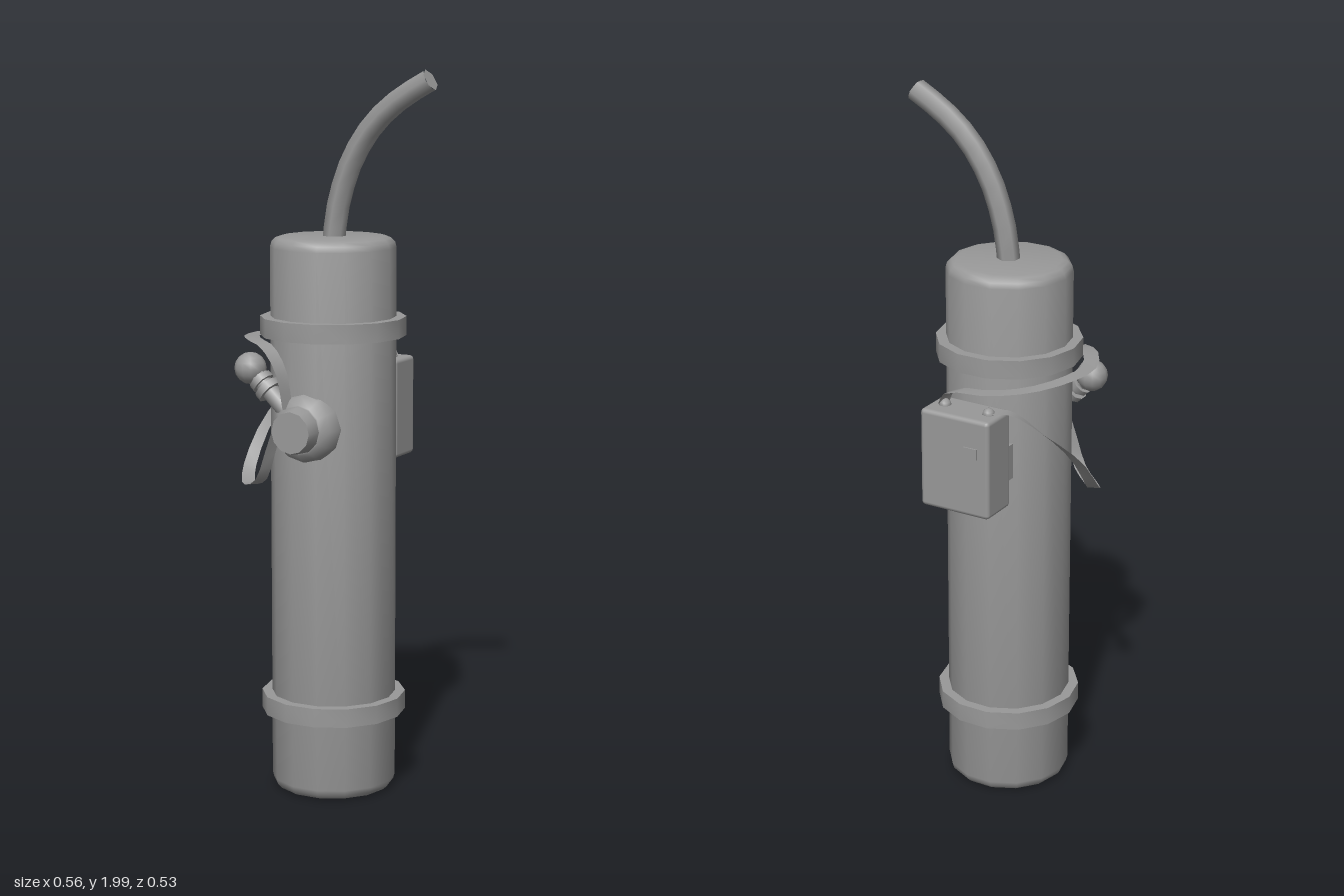
import * as THREE from 'three';
import { toCreasedNormals } from 'three/addons/utils/BufferGeometryUtils.js';
import { RoundedBoxGeometry } from 'three/addons/geometries/RoundedBoxGeometry.js';

const CX = -0.03, CZ = 0.02; // body axis
const V = (x, y, z) => new THREE.Vector3(x, y, z);

export function createModel() {
  const model = new THREE.Group();
  model.name = 'stick';
  const grey = new THREE.MeshStandardMaterial({ color: 0x999999 });
  grey.name = 'grey';
  const greyThin = grey.clone();
  greyThin.side = THREE.DoubleSide;

  function add(name, geometry, x = 0, y = 0, z = 0, material = grey) {
    const mesh = new THREE.Mesh(geometry, material);
    mesh.name = name;
    mesh.position.set(x, y, z);
    model.add(mesh);
    return mesh;
  }
  function lathe(points, sides) {
    const g = new THREE.LatheGeometry(points.map(p => new THREE.Vector2(p[0], p[1])), sides);
    return toCreasedNormals(g, 0.65);
  }

  // Cylinder with rounded ends
  const R = 0.172, b = 0.03, H = 1.55;
  const profile = [[0, 0.005]];
  for (let i = 0; i <= 3; i++) {
    const a = i * Math.PI / 6;
    profile.push([R - b + b * Math.sin(a), 0.005 + b - b * Math.cos(a)]);
  }
  for (let i = 0; i <= 3; i++) {
    const a = i * Math.PI / 6;
    profile.push([R - b + b * Math.cos(a), H - b + b * Math.sin(a)]);
  }
  profile.push([0, H]);
  add('body', lathe(profile, 14), CX, 0, CZ).rotation.y = Math.PI / 2;

  // Two raised bands
  for (const [name, y] of [['lowerBand', 0.225], ['upperBand', 1.28]]) {
    const band = lathe([[0.165, 0], [0.2, 0], [0.2, 0.052], [0.165, 0.052]], 14);
    add(name, band, CX, y, CZ).rotation.y = Math.PI / 2;
  }

  // Curved fuse with a flat end
  const fusePath = new THREE.CatmullRomCurve3([
    V(CX, 1.52, CZ), V(-0.015, 1.63, CZ), V(0.025, 1.75, CZ),
    V(0.09, 1.85, CZ), V(0.17, 1.92, CZ), V(0.26, 1.972, CZ)]);
  add('fuse', new THREE.TubeGeometry(fusePath, 10, 0.031, 6));
  const cap = add('fuseEnd', new THREE.CircleGeometry(0.031, 6), 0.26, 1.972, CZ, greyThin);
  cap.quaternion.setFromUnitVectors(V(0, 0, 1), fusePath.getTangent(1));

  // Front knob: domed collar and round button
  const knob = lathe([[0.098, 0.13], [0.098, 0.175], [0.088, 0.2], [0.068, 0.22],
    [0.064, 0.221], [0.057, 0.265], [0, 0.265]], 12);
  add('frontKnob', knob, CX, 1.045, 0).rotation.x = Math.PI / 2;

  // Handle rising from the knob to a ball, with collars
  const from = V(-0.06, 1.07, 0.19), to = V(-0.2, 1.197, 0.178);
  const axis = to.clone().sub(from);
  const along = new THREE.Quaternion().setFromUnitVectors(V(0, 1, 0), axis.clone().normalize());
  function rodPart(name, t, r, length) {
    const p = from.clone().addScaledVector(axis, t);
    add(name, new THREE.CylinderGeometry(r, r, length, 10), p.x, p.y, p.z).quaternion.copy(along);
  }
  rodPart('handleRod', 0.5, 0.025, axis.length());
  rodPart('handleCollar', 0.58, 0.038, 0.02);
  rodPart('handleCollar', 0.74, 0.034, 0.018);
  add('handleBall', new THREE.SphereGeometry(0.044, 12, 8), to.x, to.y, to.z);

  // Box on the back with its bracket, studs and plug
  add('backBox', new RoundedBoxGeometry(0.212, 0.28, 0.118, 2, 0.012), -0.028, 1.055, -0.206);
  add('bracket', new THREE.BoxGeometry(0.2, 0.1, 0.09), -0.025, 1.035, -0.14);
  for (const x of [0.035, -0.1]) {
    add('boxStud', new THREE.SphereGeometry(0.017, 10, 6), x, 1.195, -0.205);
  }
  add('boxPlug', new THREE.BoxGeometry(0.04, 0.03, 0.006), -0.08, 1.1, -0.266);

  // Flat ribbons whose width points away from the body axis
  function ribbon(name, points, width, steps) {
    const curve = new THREE.CatmullRomCurve3(points.map(p => V(...p)));
    const pos = [], index = [];
    for (let i = 0; i <= steps; i++) {
      const p = curve.getPoint(i / steps);
      const out = V(p.x - CX, 0, p.z - CZ).setLength(width / 2);
      pos.push(p.x - out.x, p.y, p.z - out.z, p.x + out.x, p.y, p.z + out.z);
      const k = 2 * i;
      if (i < steps) index.push(k, k + 1, k + 2, k + 1, k + 3, k + 2);
    }
    const g = new THREE.BufferGeometry();
    g.setAttribute('position', new THREE.Float32BufferAttribute(pos, 3));
    g.setIndex(index);
    g.computeVertexNormals();
    add(name, g, 0, 0, 0, greyThin);
  }
  ribbon('upperStrap', [[0.04, 1.2, -0.203], [0.02, 1.235, -0.203], [-0.1, 1.25, -0.195],
    [-0.19, 1.26, -0.14], [-0.25, 1.27, -0.04], [-0.255, 1.272, 0.06], [-0.2, 1.275, 0.16],
    [-0.13, 1.26, 0.205], [-0.085, 1.2, 0.215], [-0.065, 1.1, 0.215]], 0.042, 20);
  ribbon('lowerStrap', [[-0.1, 1.2, -0.21], [-0.145, 1.19, -0.16], [-0.205, 1.13, -0.11],
    [-0.25, 1.02, 0], [-0.255, 0.91, 0.09], [-0.21, 0.875, 0.17],
    [-0.15, 0.9, 0.21], [-0.115, 0.99, 0.215], [-0.09, 1.07, 0.21]], 0.036, 20);

  return model;
}
